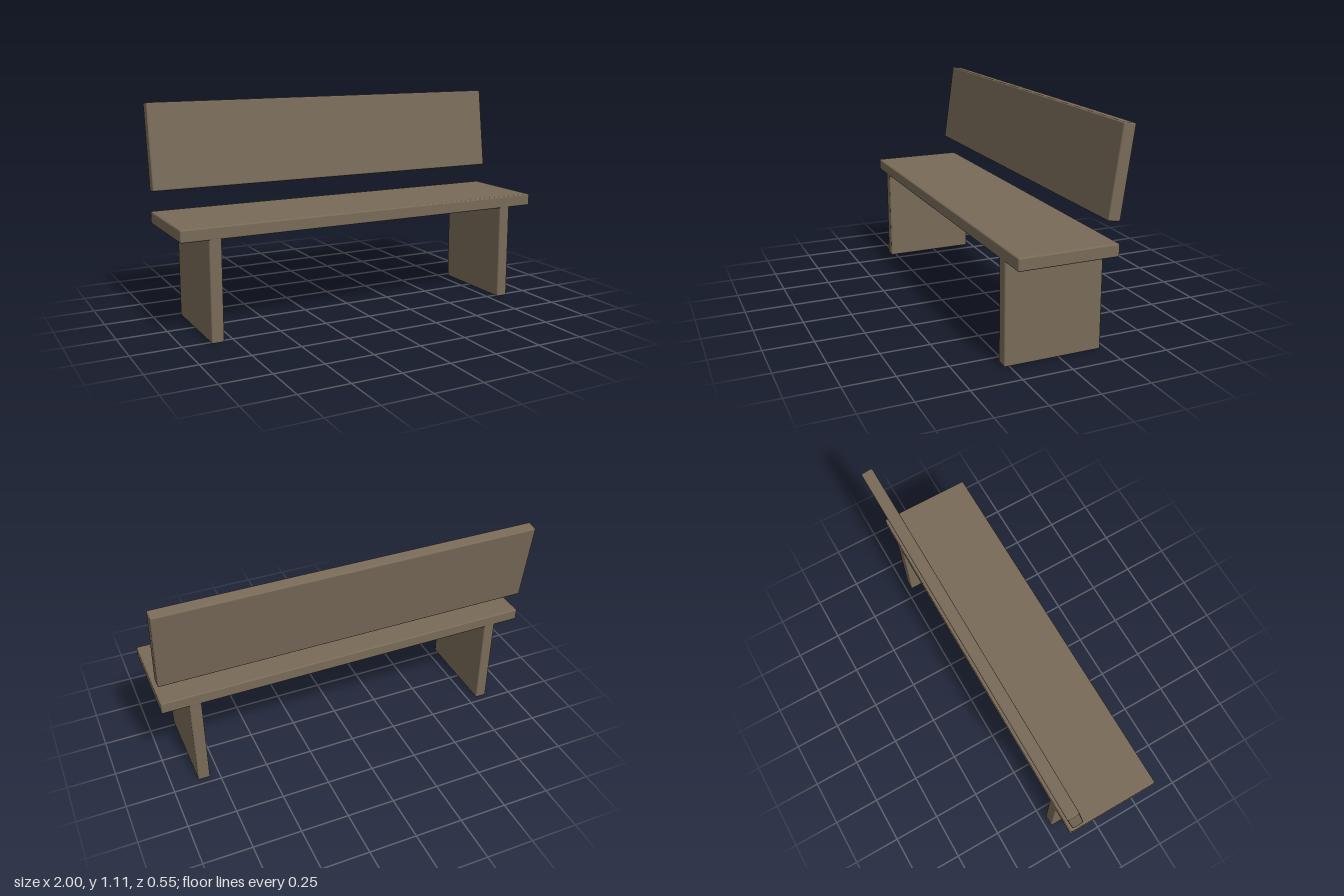
import * as THREE from 'three';
import { RoundedBoxGeometry } from 'three/addons/geometries/RoundedBoxGeometry.js';

export function createModel() {
  const bench = new THREE.Group();
  bench.name = 'bench';

  const wood = new THREE.MeshStandardMaterial({ color: 0x786a58 });
  wood.name = 'weathered wood';

  // Every part is a plank with slightly softened edges
  const thickness = 0.063;
  const plank = (name, w, h, d, x, y, z) => {
    const mesh = new THREE.Mesh(new RoundedBoxGeometry(w, h, d, 2, 0.008), wood);
    mesh.name = name;
    mesh.position.set(x, y, z);
    bench.add(mesh);
    return mesh;
  };

  const seatDepth = 0.498, seatZ = 0.029, seatBottom = 0.503;
  plank('seat', 2, thickness, seatDepth, 0, seatBottom + thickness / 2, seatZ);

  // Slab legs, their tops let into the seat
  const legHeight = seatBottom + 0.012;
  for (const [side, name] of [[1, 'leftLeg'], [-1, 'rightLeg']]) {
    plank(name, thickness, legHeight, seatDepth - 0.001, side * 0.832, legHeight / 2, seatZ);
  }

  // Floating backrest, leaning backwards
  const backrest = plank('backrest', 2, 0.44, thickness, 0, 0.889, -0.216);
  backrest.rotation.x = -0.14;

  return bench;
}
